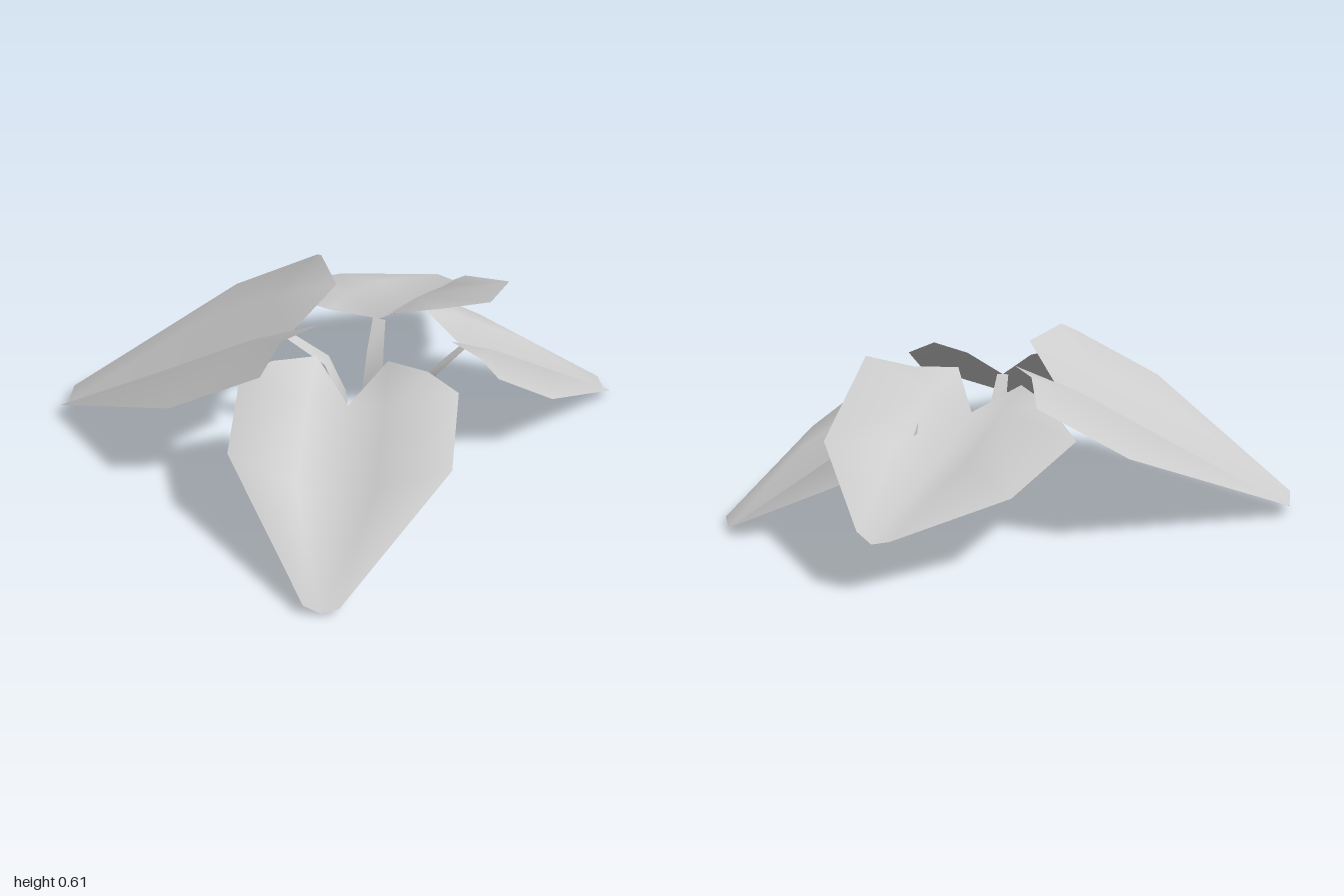
import * as THREE from 'three';

const V = (a) => new THREE.Vector3(...a);
const UP = new THREE.Vector3(0, 1, 0);

function meshFrom(name, points, index) {
  const g = new THREE.BufferGeometry().setFromPoints(points);
  g.setIndex(index);
  g.computeVertexNormals();
  const m = new THREE.Mesh(g, new THREE.MeshStandardMaterial({ color: 0xcccccc, side: THREE.DoubleSide }));
  m.name = name;
  return m;
}

// Frame of a leaf: forward along the midrib, across to the side, normal upward
function leafFrame(notch, tip, roll) {
  const dir = tip.clone().sub(notch);
  const length = dir.length();
  dir.normalize();
  const across = UP.clone().cross(dir).normalize().applyAxisAngle(dir, roll);
  const normal = dir.clone().cross(across);
  return { dir, across, normal, length };
}

// Points are [along, across, lift] in units of the midrib length
const MIDRIB = [[0, 0, 0], [0.42, 0, -0.03], [1, 0, 0]];
const RIDGE = [[0.06, 0.17, 0.1], [0.45, 0.17, 0.085]];
const INNER = [-0.2, 0.16, 0.075];
const MID = [-0.12, 0.345, 0.135];
const OUTER = [-0.05, 0.485, 0.09];
const SIDE = [0.33, 0.485, 0.075];
const TIP = [0.985, 0.075, 0.03];

// Faces of one half: midrib 0-2, ridge 3-4, rim 5-9 from notch to tip
const HALF = [
  [0, 5, 3], [3, 5, 6], [3, 6, 7], [3, 7, 8], [3, 8, 4],
  [0, 3, 1], [3, 4, 1], [4, 8, 9], [4, 9, 2], [1, 4, 2],
];

// Heart-shaped blade with a gutter along the midrib; skew shifts the outer lobes
function makeBlade(notch, frame, { mid = MID, outer = OUTER, side = SIDE, skew = 0 }) {
  const place = ([a, w, h], s = 1) => notch.clone()
    .addScaledVector(frame.dir, a * frame.length)
    .addScaledVector(frame.across, s * w * frame.length)
    .addScaledVector(frame.normal, h * frame.length);
  const points = MIDRIB.map((p) => place(p));
  const index = [];
  for (const s of [1, -1]) {
    const shift = points.length - 3;
    const lobe = [outer[0] + s * skew, outer[1], outer[2]];
    [...RIDGE, INNER, mid, lobe, side, TIP].forEach((p) => points.push(place(p, s)));
    for (const face of HALF) {
      const [a, b, c] = face.map((i) => (i < 3 ? i : i + shift));
      index.push(...(s > 0 ? [a, c, b] : [a, b, c]));
    }
  }
  return meshFrom('blade', points, index);
}

// Flat tapering ribbon stalk bending from the ground to the notch of the blade
function makeStalk(path, across, width) {
  const points = [], index = [];
  const flat = across.clone().setY(0).normalize();
  path.forEach((c, i) => {
    const half = width * (0.5 - 0.08 * i);
    points.push(c.clone().addScaledVector(flat, -half), c.clone().addScaledVector(flat, half));
    if (i < path.length - 1) {
      const k = i * 2;
      index.push(k, k + 2, k + 1, k + 1, k + 2, k + 3);
    }
  });
  return meshFrom('stalk', points, index);
}

const LEAVES = [
  { name: 'rightLeaf', tip: [-0.85, 0.02, 0.54], width: 0.105,
    stalk: [[0.19, 0.005, 0.045], [0.17, 0.2, 0.055], [0.11, 0.35, 0.083], [-0.025, 0.44, 0.145]] },
  { name: 'frontLeaf', tip: [0.757, 0.015, 0.96], width: 0.09,
    stalk: [[0.31, 0.005, 0.155], [0.32, 0.19, 0.175], [0.35, 0.3, 0.24], [0.395, 0.38, 0.33]] },
  { name: 'backLeaf', tip: [-0.02, 0.205, -0.99], width: 0.1, roll: -0.16,
    mid: [-0.1, 0.345, 0.085], outer: [0.045, 0.56, 0.115], side: [0.58, 0.445, 0.09], skew: 0.085,
    stalk: [[0.25, 0.015, 0.015], [0.235, 0.2, -0.045], [0.205, 0.33, -0.1], [0.15, 0.42, -0.2]] },
  { name: 'backLeftLeaf', tip: [0.8, 0.015, -0.88], width: 0.07, roll: 0.04,
    mid: [-0.12, 0.34, 0.1], outer: [-0.05, 0.46, 0.07], side: [0.33, 0.45, 0.04],
    stalk: [[0.375, 0.005, -0.17], [0.375, 0.15, -0.17], [0.4, 0.26, -0.22], [0.46, 0.345, -0.325]] },
];

export function createModel() {
  const plant = new THREE.Group();
  plant.name = 'plant';
  for (const spec of LEAVES) {
    const path = spec.stalk.map(V);
    const notch = path[path.length - 1];
    const frame = leafFrame(notch, V(spec.tip), spec.roll ?? 0);
    const leaf = new THREE.Group();
    leaf.name = spec.name;
    leaf.add(makeBlade(notch, frame, spec), makeStalk(path, frame.across, spec.width));
    plant.add(leaf);
  }
  return plant;
}
